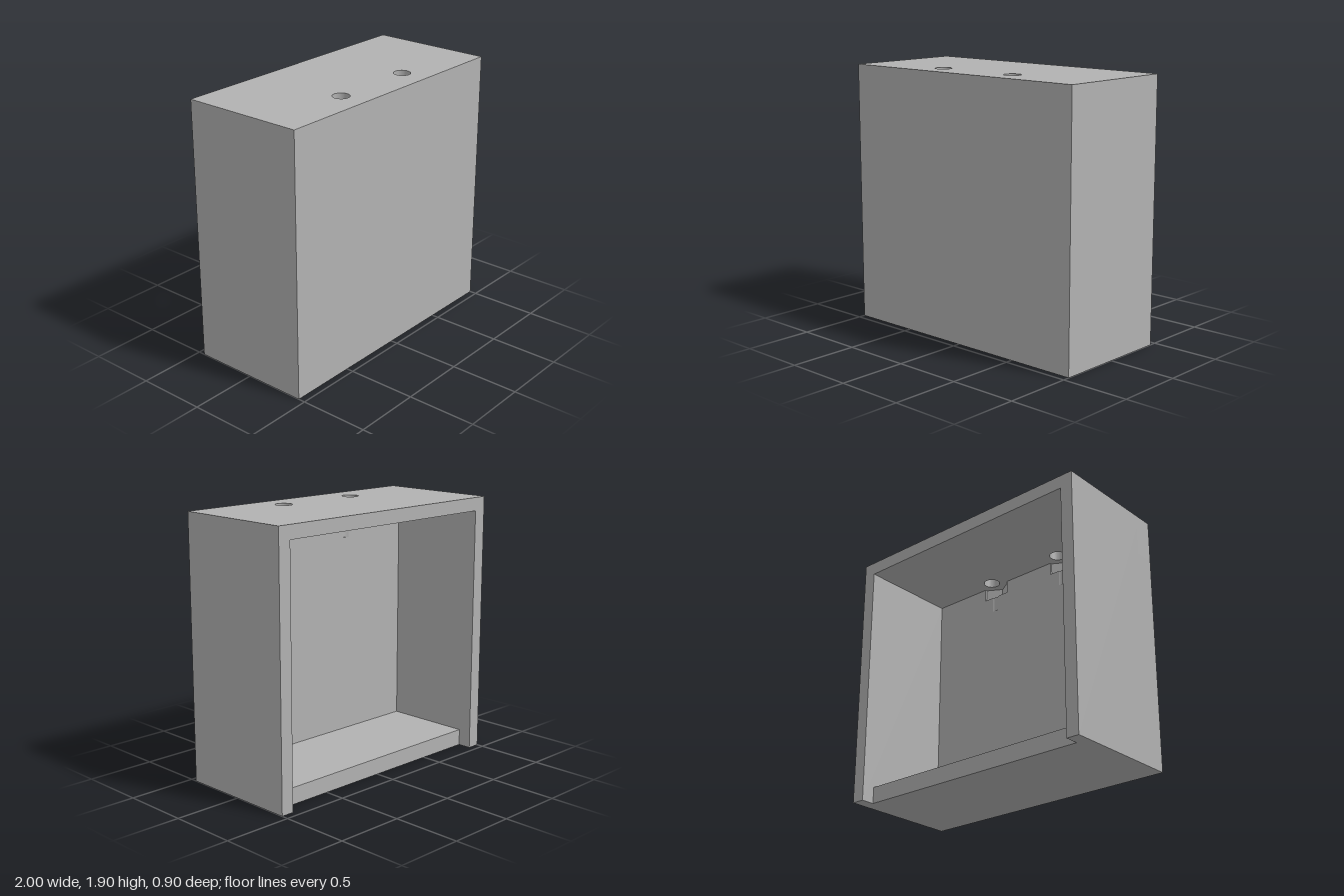
import * as THREE from 'three';

const H = 1.9, D = 0.45;           // height, half depth
const WALL = 0.095, CEIL = 1.803;  // wall thickness, underside of the top
const INNER = 0.3;                 // inner face of the front panel
const HOLE_X = 0.325, HOLE_Z = 0.25, HOLE_R = 0.06;

export function createModel() {
  const group = new THREE.Group();
  const grey = new THREE.MeshStandardMaterial({ color: 0xb2b2b2 });

  const add = (name, geometry) => {
    const mesh = new THREE.Mesh(geometry, grey);
    mesh.name = name;
    group.add(mesh);
  };
  const box = (name, x0, x1, y0, y1, z0, z1) => {
    const g = new THREE.BoxGeometry(x1 - x0, y1 - y0, z1 - z0);
    add(name, g.translate((x0 + x1) / 2, (y0 + y1) / 2, (z0 + z1) / 2));
  };
  // Plan outline (x, -z) raised from y0 to y1
  const slab = (name, shape, y0, y1) => {
    const g = new THREE.ExtrudeGeometry(shape, { depth: y1 - y0, bevelEnabled: false, curveSegments: 32 });
    add(name, g.rotateX(-Math.PI / 2).translate(0, y0, 0));
  };
  // Front panel outline with the same notch cut into its inner face at each hole
  const notchedPanel = (notch) => {
    const pts = [[-1, D], [1, D], [1, INNER]];
    for (const x of [HOLE_X, -HOLE_X]) for (const [dx, z] of notch) pts.push([x + dx, z]);
    pts.push([-1, INNER]);
    return new THREE.Shape(pts.map(([x, z]) => new THREE.Vector2(x, -z)));
  };

  // Top with two bolt holes
  const top = new THREE.Shape([[-1, -D], [1, -D], [1, D], [-1, D]].map(([x, y]) => new THREE.Vector2(x, y)));
  for (const x of [-HOLE_X, HOLE_X]) {
    top.holes.push(new THREE.Path().absarc(x, -HOLE_Z, HOLE_R, 0, Math.PI * 2, true));
  }
  slab('top', top, CEIL, H);

  // Front panel: plain below, then bolt grooves, then hexagonal nut pockets
  const groove = [];
  const half = Math.acos((INNER - HOLE_Z) / HOLE_R);
  for (let i = 0; i <= 8; i++) {
    const a = half * (1 - i / 4);
    groove.push([HOLE_R * Math.sin(a), HOLE_Z + HOLE_R * Math.cos(a)]);
  }
  const R = 0.127, flat = R * Math.cos(Math.PI / 6);
  const hex = [[flat, INNER], [flat, HOLE_Z + R / 2], [0, HOLE_Z + R], [-flat, HOLE_Z + R / 2], [-flat, INNER]];
  box('frontPanel', -1, 1, 0, 1.59, INNER, D);
  slab('frontPanelBoltGrooves', notchedPanel(groove), 1.59, 1.708);
  slab('frontPanelNutPockets', notchedPanel(hex), 1.708, CEIL);

  // Side walls
  box('leftWall', 1 - WALL, 1, 0, CEIL, -D, INNER);
  box('rightWall', -1, -1 + WALL, 0, CEIL, -D, INNER);

  // Floor, set in from the open back
  box('floor', -1 + WALL, 1 - WALL, 0, 0.12, -0.35, INNER);

  return group;
}
